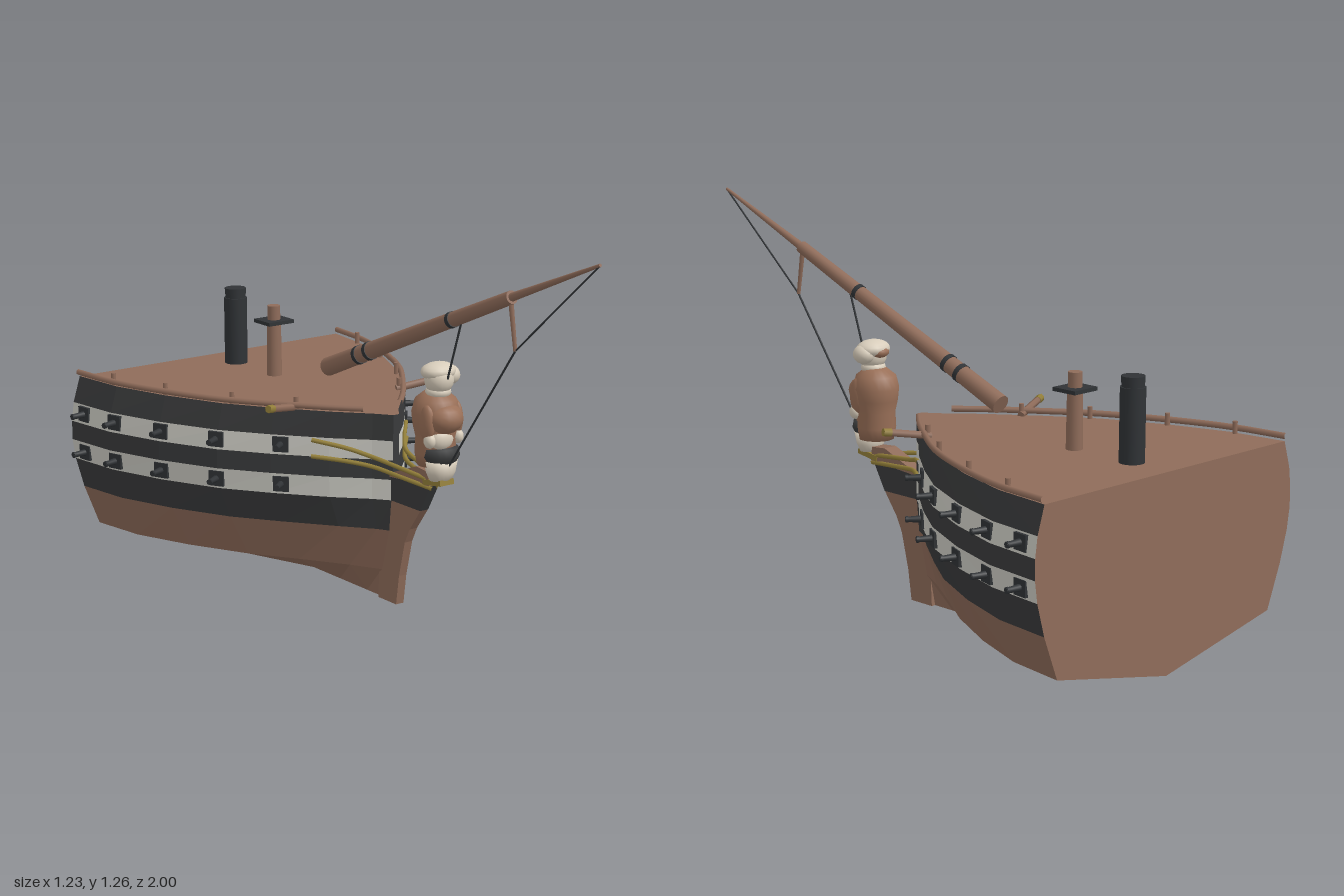
import * as THREE from 'three';

const paint = (name, color) => {
  const m = new THREE.MeshStandardMaterial({ color });
  m.name = name;
  return m;
};
const V = (x, y, z) => new THREE.Vector3(x, y, z);

// Hull stations [z, greatest half width] and levels [y, width ratio, bow fineness]
const stations = [[-1, 0.57], [-0.8, 0.545], [-0.6, 0.478], [-0.4, 0.382], [-0.25, 0.275],
  [-0.1, 0.152], [0, 0.055], [0.055, 0.012]];
const levels = [[0, 0, 1], [0.1, 0.833, 1.45], [0.24, 0.93, 1.15], [0.344, 0.982, 1],
  [0.412, 1, 1], [0.476, 1, 1], [0.54, 0.985, 1], [0.626, 0.938, 1]];
const hullPoint = (i, j, side) => {
  const [z, w] = stations[i];
  const [y, ratio, fine] = levels[j];
  return V(side * 0.57 * ratio * Math.pow(w / 0.57, fine), y, z);
};
// Half width of the hull at any height and length
function halfWidth(y, z) {
  let i = 0, j = 0;
  while (i < stations.length - 2 && stations[i + 1][0] < z) i++;
  while (j < levels.length - 2 && levels[j + 1][0] < y) j++;
  const u = (z - stations[i][0]) / (stations[i + 1][0] - stations[i][0]);
  const v = (y - levels[j][0]) / (levels[j + 1][0] - levels[j][0]);
  const low = THREE.MathUtils.lerp(hullPoint(i, j, 1).x, hullPoint(i + 1, j, 1).x, u);
  const high = THREE.MathUtils.lerp(hullPoint(i, j + 1, 1).x, hullPoint(i + 1, j + 1, 1).x, u);
  return THREE.MathUtils.lerp(low, high, v);
}
// Flat faceted geometry from four-cornered faces
function facets(quads) {
  const pos = [];
  for (const [a, b, c, d] of quads) for (const p of [a, b, c, a, c, d]) pos.push(p.x, p.y, p.z);
  const g = new THREE.BufferGeometry();
  g.setAttribute('position', new THREE.Float32BufferAttribute(pos, 3));
  g.computeVertexNormals();
  return g;
}

export function createModel() {
  const ship = new THREE.Group();
  ship.name = 'shipBow';
  const wood = paint('wood brown', 0x8f6c5a);
  const black = paint('hull black', 0x3a3b3c);
  const white = paint('hull white', 0xcfcec6);
  const iron = paint('iron', 0x303336);
  const gold = paint('gold', 0x94803a);
  const cream = paint('figure cream', 0xd8cdbb);
  const coat = paint('figure brown', 0x9a7058);

  const add = (name, geo, mat, x = 0, y = 0, z = 0, parent = ship) => {
    const m = new THREE.Mesh(geo, mat);
    m.name = name;
    m.position.set(x, y, z);
    parent.add(m);
    return m;
  };
  // Round bar between two points
  const bar = (name, a, b, r1, r2, mat, sides = 10) => {
    const dir = b.clone().sub(a);
    const m = add(name, new THREE.CylinderGeometry(r2, r1, dir.length(), sides), mat);
    m.position.copy(a).add(b).multiplyScalar(0.5);
    m.quaternion.setFromUnitVectors(V(0, 1, 0), dir.normalize());
    return m;
  };
  const tube = (name, pts, r, mat) =>
    add(name, new THREE.TubeGeometry(new THREE.CatmullRomCurve3(pts), 24, r, 6), mat);

  // Hull strakes, one mesh for each painted band
  const bands = [['bottomPlanks', wood], ['lowerPlanks', wood], ['lowerWale', black], ['lowerGunBand', white],
    ['middleWale', black], ['upperGunBand', white], ['bulwark', black]];
  bands.forEach(([name, mat], j) => {
    const quads = [];
    for (let i = 0; i < stations.length - 1; i++) {
      const at = (di, dj, s) => hullPoint(i + di, j + dj, s);
      quads.push([at(0, 0, 1), at(0, 1, 1), at(1, 1, 1), at(1, 0, 1)]);
      quads.push([at(0, 0, -1), at(1, 0, -1), at(1, 1, -1), at(0, 1, -1)]);
    }
    add(name, facets(quads), mat);
  });
  const top = levels.length - 1;
  const bow = stations.length - 1;
  const deck = [], aft = [], front = [];
  for (let i = 0; i < bow; i++)
    deck.push([hullPoint(i, top, -1), hullPoint(i + 1, top, -1), hullPoint(i + 1, top, 1), hullPoint(i, top, 1)]);
  for (let j = 0; j < top; j++) {
    aft.push([hullPoint(0, j, -1), hullPoint(0, j + 1, -1), hullPoint(0, j + 1, 1), hullPoint(0, j, 1)]);
    front.push([hullPoint(bow, j, -1), hullPoint(bow, j, 1), hullPoint(bow, j + 1, 1), hullPoint(bow, j + 1, -1)]);
  }
  add('deck', facets(deck), wood);
  add('aftBulkhead', facets(aft), wood);
  add('bowPost', facets(front), black);

  // Stem and beakhead, cut from side profiles given as [z, y]
  const slab = (name, pts, width, mat) => {
    const g = new THREE.ExtrudeGeometry(new THREE.Shape(pts.map(p => new THREE.Vector2(...p))),
      { depth: width, bevelEnabled: false });
    g.rotateY(-Math.PI / 2).translate(width / 2, 0, 0);
    return add(name, g, mat);
  };
  slab('stem', [[-0.02, 0], [0.075, 0], [0.09, 0.1], [0.12, 0.22], [0.145, 0.27], [0.2, 0.344], [0, 0.344]], 0.03, wood);
  slab('beakhead', [[0, 0.344], [0.2, 0.344], [0.255, 0.44], [0.2, 0.435], [0.05, 0.425], [0, 0.43]], 0.032, black);
  slab('figureheadKnee', [[0.05, 0.425], [0.255, 0.44], [0.25, 0.485], [0.19, 0.49], [0.06, 0.44]], 0.05, wood);
  const plate = add('figureheadPlate', new THREE.BoxGeometry(0.055, 0.018, 0.09), gold, 0, 0.455, 0.27);
  plate.rotation.x = -0.15;

  for (const s of [-1, 1]) {
    // Cap rail with small posts
    const edge = [-1, -0.8, -0.6, -0.4, -0.25, -0.1, -0.02].map(z => V(s * (halfWidth(0.62, z) + 0.003), 0.641, z));
    tube('capRail', edge, 0.01, wood);
    for (const z of [-0.2, -0.38, -0.61, -0.83])
      add('railPost', new THREE.CylinderGeometry(0.008, 0.008, 0.045, 8), wood, s * (halfWidth(0.62, z) - 0.012), 0.643, z);

    // Cathead beam with a gilded end
    bar('cathead', V(s * 0.2, 0.63, -0.205), V(s * 0.325, 0.652, -0.16), 0.012, 0.012, wood, 6);
    bar('catheadTip', V(s * 0.325, 0.652, -0.16), V(s * 0.35, 0.656, -0.151), 0.013, 0.013, gold, 6);

    // Gilded head rails sweeping to the stem
    [[0.532, 0.49, 0.455], [0.478, 0.458, 0.43]].forEach(([y0, y1, y2]) =>
      tube('headRail', [V(s * (halfWidth(y0, -0.14) + 0.008), y0, -0.14),
        V(s * (halfWidth(y1, -0.05) + 0.012), (y0 + y1) / 2, -0.05),
        V(s * 0.068, y1, 0.02), V(s * 0.04, (y1 + y2) / 2, 0.14), V(s * 0.014, y2, 0.26)], 0.0075, gold));

    // Two rows of guns, each square to the planking
    for (const y of [0.51, 0.378]) for (const z of [-0.225, -0.405, -0.595, -0.78, -0.935]) {
      const slope = (halfWidth(y, z + 0.03) - halfWidth(y, z - 0.03)) / 0.06;
      const gun = new THREE.Group();
      gun.name = 'gun';
      gun.position.set(s * halfWidth(y, z), y, z);
      gun.rotation.y = s > 0 ? Math.atan(slope) : Math.PI - Math.atan(slope);
      add('gunPort', new THREE.BoxGeometry(0.014, 0.05, 0.052), iron, 0, 0, 0, gun);
      const barrel = add('gunBarrel', new THREE.CylinderGeometry(0.008, 0.012, 0.06, 10), iron, 0.025, 0, 0, gun);
      const muzzle = add('gunMuzzle', new THREE.CylinderGeometry(0.01, 0.01, 0.008, 10), iron, 0.05, 0, 0, gun);
      barrel.rotation.z = muzzle.rotation.z = -Math.PI / 2;
      ship.add(gun);
    }
  }

  // Funnel and mast stump on deck
  add('funnel', new THREE.CylinderGeometry(0.039, 0.039, 0.23, 20), iron, 0, 0.74, -0.85);
  add('funnelCollar', new THREE.CylinderGeometry(0.034, 0.034, 0.02, 20), iron, 0, 0.861, -0.85);
  add('funnelRim', new THREE.CylinderGeometry(0.036, 0.036, 0.02, 20), iron, 0, 0.878, -0.85);
  add('mastStump', new THREE.CylinderGeometry(0.024, 0.026, 0.19, 16), wood, 0, 0.72, -0.62);
  add('mastTop', new THREE.CylinderGeometry(0.022, 0.022, 0.05, 16), wood, 0, 0.84, -0.62);
  add('mastPlate', new THREE.BoxGeometry(0.1, 0.012, 0.09), iron, 0, 0.812, -0.62);

  // Bowsprit, iron bands and jib boom
  const heel = V(0, 0.713, -0.31), cap = V(0, 1.1, 0.615);
  bar('bowsprit', heel, cap, 0.031, 0.021, wood, 16);
  bar('jibBoom', V(0, 1.088, 0.585), V(0, 1.256, 0.998), 0.014, 0.005, wood);
  for (const t of [0.18, 0.24, 0.69]) {
    const r = 0.033 - 0.01 * t;
    bar('spritBand', heel.clone().lerp(cap, t), heel.clone().lerp(cap, t + 0.016), r, r, iron, 16);
  }
  // Martingale spar and stays
  const spar = V(0, 0.94, 0.633);
  bar('martingaleSpar', V(0, 1.09, 0.61), spar, 0.008, 0.006, wood, 8);
  bar('foreStay', V(0, 1.254, 0.996), spar, 0.003, 0.003, iron, 6);
  bar('bobStay', spar, V(0, 0.45, 0.275), 0.0035, 0.0035, iron, 6);
  bar('shortStay', V(0, 0.985, 0.38), V(0, 0.75, 0.3), 0.0035, 0.0035, iron, 6);

  // Figurehead: turned body, sash, head and headcloth
  const figure = new THREE.Group();
  figure.name = 'figurehead';
  figure.position.set(0, 0, 0.268);
  ship.add(figure);
  const turned = (name, mat, pts, deep, z) => {
    const m = add(name, new THREE.LatheGeometry(pts.map(p => new THREE.Vector2(...p)), 20), mat, 0, 0, z, figure);
    m.scale.z = deep;
  };
  const ball = (name, mat, x, y, z, sx, sy, sz) =>
    add(name, new THREE.SphereGeometry(1, 16, 10), mat, x, y, z, figure).scale.set(sx, sy, sz);
  turned('skirt', cream, [[0, 0.462], [0.038, 0.465], [0.05, 0.49], [0.058, 0.53], [0, 0.54]], 0.8, 0.015);
  turned('torso', coat, [[0, 0.505], [0.058, 0.51], [0.066, 0.55], [0.063, 0.6], [0.072, 0.64], [0.076, 0.68],
    [0.066, 0.72], [0.035, 0.745], [0, 0.75]], 1, -0.012);
  turned('sash', black, [[0, 0.515], [0.05, 0.52], [0.063, 0.545], [0.058, 0.57], [0, 0.585]], 0.85, 0.016);
  ball('chest', coat, 0, 0.665, 0.03, 0.062, 0.05, 0.06);
  ball('shirtFront', cream, -0.012, 0.6, 0.034, 0.042, 0.035, 0.026);
  for (const s of [-1, 1]) {
    ball('sleeve', coat, s * 0.056, 0.655, 0.015, 0.02, 0.06, 0.032);
    ball('cuff', cream, s * 0.055, 0.6, 0.028, 0.018, 0.024, 0.022);
  }
  ball('neck', cream, 0, 0.745, 0, 0.042, 0.025, 0.04);
  ball('face', cream, 0, 0.785, 0.004, 0.048, 0.048, 0.046);
  ball('headcloth', cream, 0.004, 0.808, -0.004, 0.06, 0.03, 0.05);
  ball('headclothRoll', cream, 0.042, 0.793, 0, 0.034, 0.032, 0.038);
  ball('headclothTie', coat, 0, 0.8, -0.03, 0.034, 0.02, 0.028);
  return ship;
}
